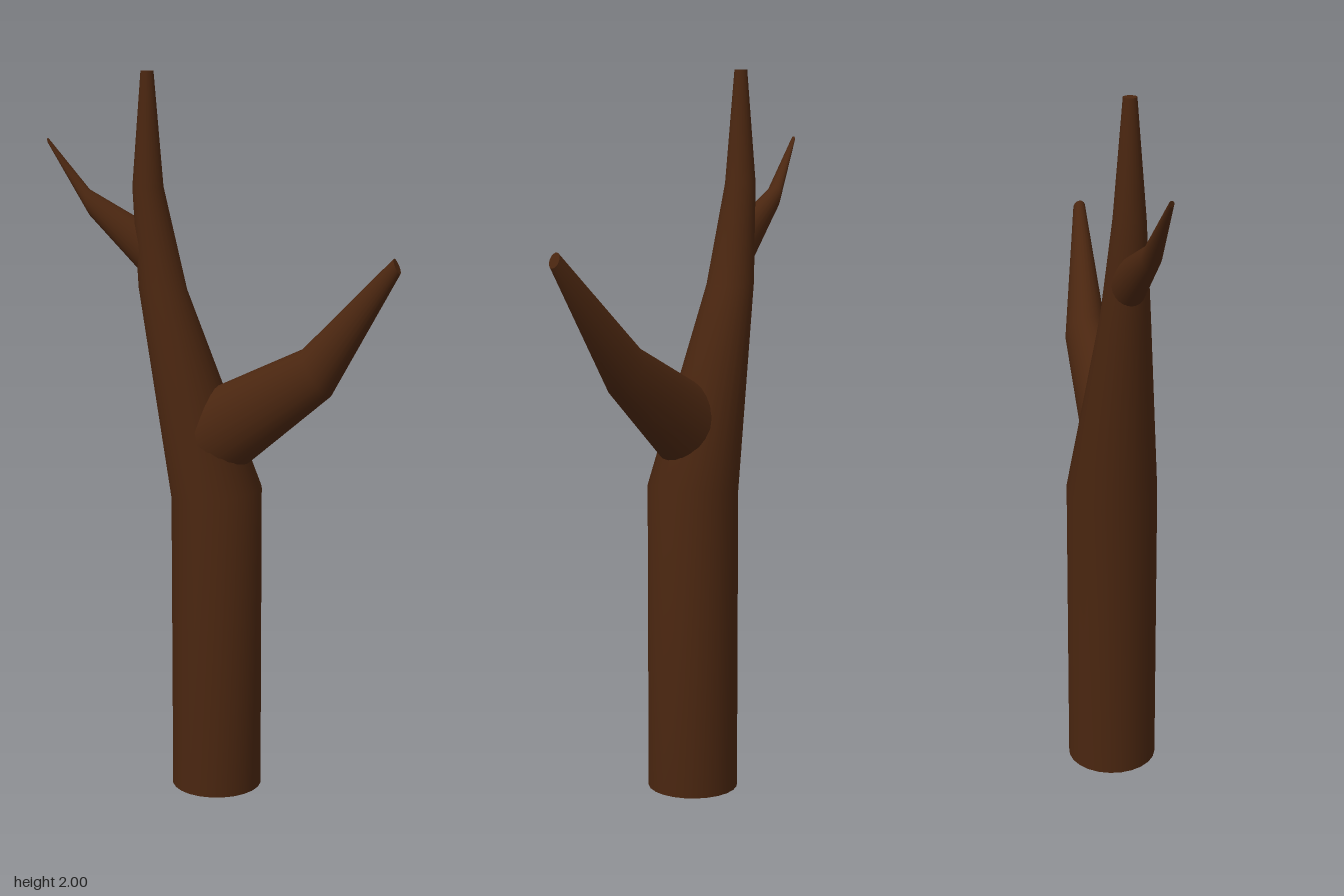
import * as THREE from 'three';

const SIDES = 24;
const bark = new THREE.MeshStandardMaterial({ color: 0x4a2610 });
bark.name = 'bark';

// Lofts a limb through oval rings. Each ring is [ax, ay, bx, by, zCentre, zHalf],
// where a and b are its opposite edges in the xy plane.
function limb(name, rings) {
  const pos = [];
  const index = [];
  const addRing = ([ax, ay, bx, by, z, h]) => {
    const start = pos.length / 3;
    for (let j = 0; j < SIDES; j++) {
      const t = (j / SIDES) * Math.PI * 2;
      const c = Math.cos(t) / 2;
      pos.push((ax + bx) / 2 + c * (bx - ax), (ay + by) / 2 + c * (by - ay), z + Math.sin(t) * h);
    }
    return start;
  };

  // Side wall
  const starts = rings.map(addRing);
  for (let i = 0; i + 1 < rings.length; i++) {
    for (let j = 0; j < SIDES; j++) {
      const k = (j + 1) % SIDES;
      const lo = starts[i];
      const hi = starts[i + 1];
      index.push(lo + k, lo + j, hi + j, lo + k, hi + j, hi + k);
    }
  }

  // End caps, with their own corners so the rims stay sharp
  [rings[0], rings[rings.length - 1]].forEach((ring, end) => {
    const s = addRing(ring);
    for (let j = 1; j + 1 < SIDES; j++) {
      if (end === 0) index.push(s, s + j, s + j + 1);
      else index.push(s, s + j + 1, s + j);
    }
  });

  const geo = new THREE.BufferGeometry();
  geo.setAttribute('position', new THREE.Float32BufferAttribute(pos, 3));
  geo.setIndex(index);
  geo.computeVertexNormals();
  const mesh = new THREE.Mesh(geo, bark);
  mesh.name = name;
  return mesh;
}

export function createModel() {
  const tree = new THREE.Group();
  tree.name = 'bareTree';

  // Straight trunk that leans and tapers to a blunt tip
  tree.add(limb('trunk', [
    [-0.147, 0, 0.105, 0, 0, 0.126],
    [-0.147, 0.84, 0.105, 0.87, 0, 0.126],
    [-0.247, 1.42, -0.113, 1.41, 0, 0.066],
    [-0.265, 1.69, -0.18, 1.69, 0, 0.043],
    [-0.24, 2, -0.205, 2, 0, 0.018],
  ]));

  // Large bent branch on the left
  tree.add(limb('largeBranch', [
    [-0.1, 1.115, 0.0, 0.88, 0.013, 0.096],
    [0.225, 1.27, 0.305, 1.145, -0.012, 0.058],
    [0.485, 1.53, 0.503, 1.49, 0.019, 0.017],
  ]));

  // Small bent branch on the right
  tree.add(limb('smallBranch', [
    [-0.2, 1.415, -0.2, 1.575, -0.004, 0.05],
    [-0.385, 1.605, -0.395, 1.68, 0.017, 0.027],
    [-0.503, 1.8, -0.507, 1.817, 0.035, 0.007],
  ]));

  return tree;
}
